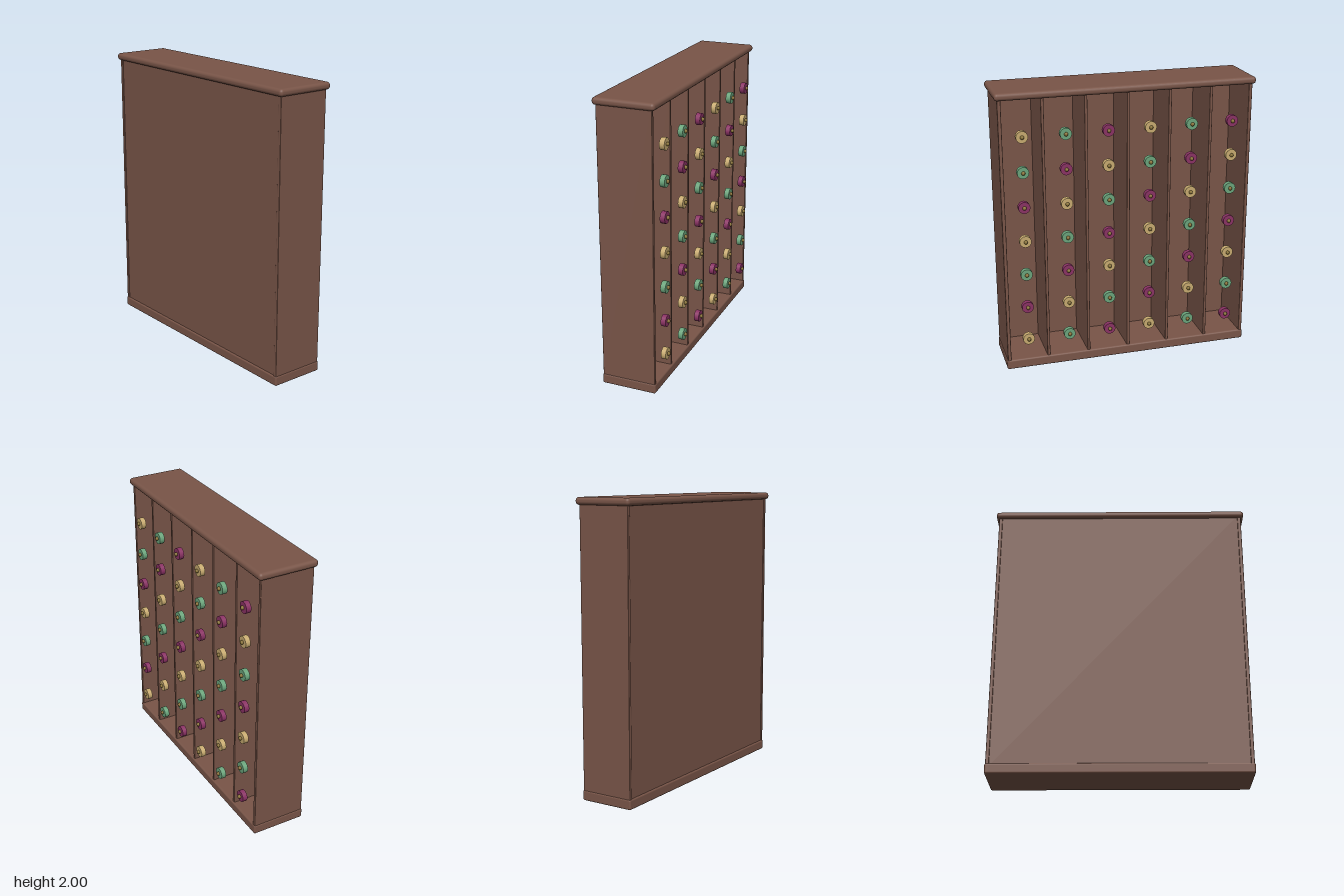
import * as THREE from 'three';
import { RoundedBoxGeometry } from 'three/addons/geometries/RoundedBoxGeometry.js';

const material = (name, color) => new THREE.MeshStandardMaterial({ name, color });

export function createModel() {
  const model = new THREE.Group();
  model.name = 'spoolCabinet';
  const wood = material('brown wood', 0x795548);
  const brass = material('dark brass', 0x8a7338);
  const spoolColors = [
    material('straw yellow', 0xc8ab70),
    material('sage green', 0x6ba57c),
    material('plum', 0x8a3264),
  ];

  // Adds a rounded wooden board spanning the given limits
  function board(name, x0, x1, y0, y1, z0, z1, radius) {
    const mesh = new THREE.Mesh(
      new RoundedBoxGeometry(x1 - x0, y1 - y0, z1 - z0, 3, radius), wood);
    mesh.name = name;
    mesh.position.set((x0 + x1) / 2, (y0 + y1) / 2, (z0 + z1) / 2);
    model.add(mesh);
  }

  // Carcass: moulded top and base, two sides and a closed front
  board('topBoard', -0.905, 0.905, 1.95, 2, -0.198, 0.225, 0.022);
  board('baseBoard', -0.89, 0.89, 0, 0.07, -0.18, 0.21, 0.012);
  board('rightSide', -0.885, -0.86, 0.05, 1.97, -0.175, 0.205, 0.005);
  board('leftSide', 0.86, 0.885, 0.05, 1.97, -0.175, 0.205, 0.005);
  board('frontPanel', -0.865, 0.865, 0.05, 1.97, 0.175, 0.2, 0.003);

  // Upright dividers between the six bays
  const bay = 0.294;
  for (let i = -2; i <= 2; i++) {
    board('divider', i * bay - 0.01, i * bay + 0.01, 0.05, 1.97, -0.17, 0.18, 0.003);
  }

  // Round spool end, pointing backwards out of the bay
  const spoolGeometry = new THREE.CylinderGeometry(0.041, 0.041, 0.035, 16);
  spoolGeometry.rotateX(-Math.PI / 2);
  const knobGeometry = new THREE.SphereGeometry(0.014, 8, 6);

  // Spools in seven rows, their colours running diagonally
  for (let column = 0; column < 6; column++) {
    for (let row = 0; row < 7; row++) {
      const spool = new THREE.Group();
      spool.name = 'spool';
      const end = new THREE.Mesh(spoolGeometry, spoolColors[(row + column) % 3]);
      end.name = 'spoolEnd';
      const knob = new THREE.Mesh(knobGeometry, brass);
      knob.name = 'spoolKnob';
      knob.position.z = -0.022;
      spool.add(end, knob);
      spool.position.set((2.5 - column) * bay, 1.705 - row * 0.245, -0.189);
      model.add(spool);
    }
  }
  return model;
}
